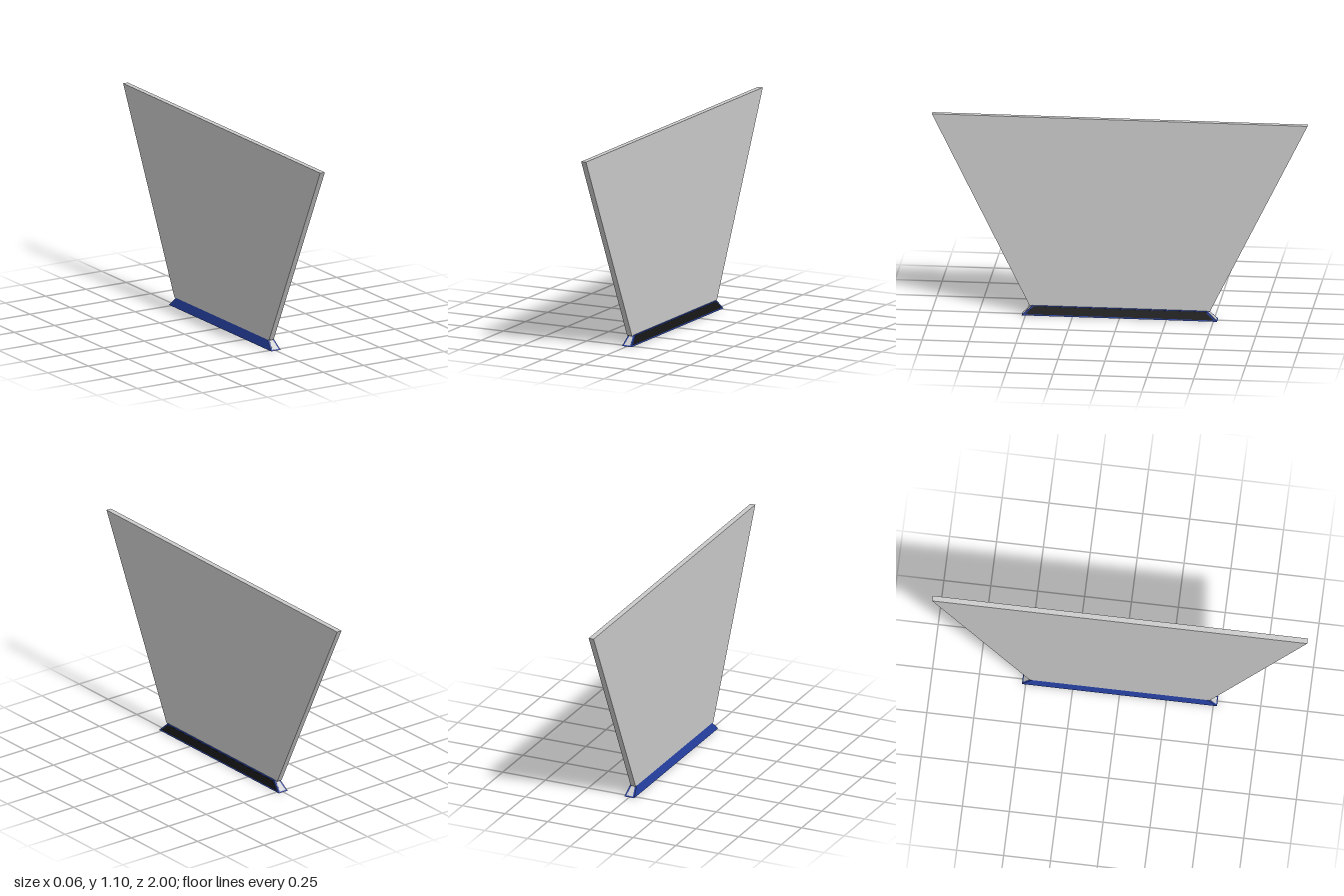
import * as THREE from 'three';

const material = (color) => new THREE.MeshStandardMaterial({ color, flatShading: true });

// Box whose lower and upper rectangles [x0, x1, z0, z1] differ
function taperedBox(name, y0, low, y1, high, mat) {
  const geo = new THREE.BoxGeometry(1, 1, 1);
  const p = geo.attributes.position;
  for (let i = 0; i < p.count; i++) {
    const up = p.getY(i) > 0;
    const r = up ? high : low;
    p.setXYZ(i, p.getX(i) > 0 ? r[1] : r[0], up ? y1 : y0, p.getZ(i) > 0 ? r[3] : r[2]);
  }
  geo.computeVertexNormals();
  const mesh = new THREE.Mesh(geo, mat);
  mesh.name = name;
  return mesh;
}

// Half width and half length of the sloping foot at height y
const H = 0.052;
const halfX = (y) => 0.029 - 0.011 * (y / H);
const halfZ = (y) => 0.52 - 0.055 * (y / H);

export function createModel() {
  const group = new THREE.Group();
  const grey = material(0xcccccc);
  const blue = material(0x2540a0);
  const black = material(0x161616);

  // Flaring upright panel
  group.add(taperedBox('panel', 0.05, [-0.019, 0.01, -0.48, 0.48],
    1.1, [-0.019, 0.01, -1, 1], grey));

  // Sloping foot under the panel
  const foot = (y) => [-halfX(y), halfX(y), -halfZ(y), halfZ(y)];
  group.add(taperedBox('foot', 0, foot(0), H, foot(H), blue));

  // Dark strip laid on the left slope of the foot
  const strip = (y) => [0, halfX(y) + 0.0008, -halfZ(y) + 0.01, halfZ(y) - 0.01];
  group.add(taperedBox('sideStrip', 0.007, strip(0.007), 0.049, strip(0.049), black));

  // Pale inlays on both sloping ends
  for (const s of [1, -1]) {
    const inlay = (y) => {
      const w = halfX(y) - 0.009;
      const z = [0, s * (halfZ(y) + 0.0008)].sort((a, b) => a - b);
      return [-w, w, ...z];
    };
    group.add(taperedBox(s > 0 ? 'frontInlay' : 'backInlay',
      0.006, inlay(0.006), 0.046, inlay(0.046), grey));
  }
  return group;
}
